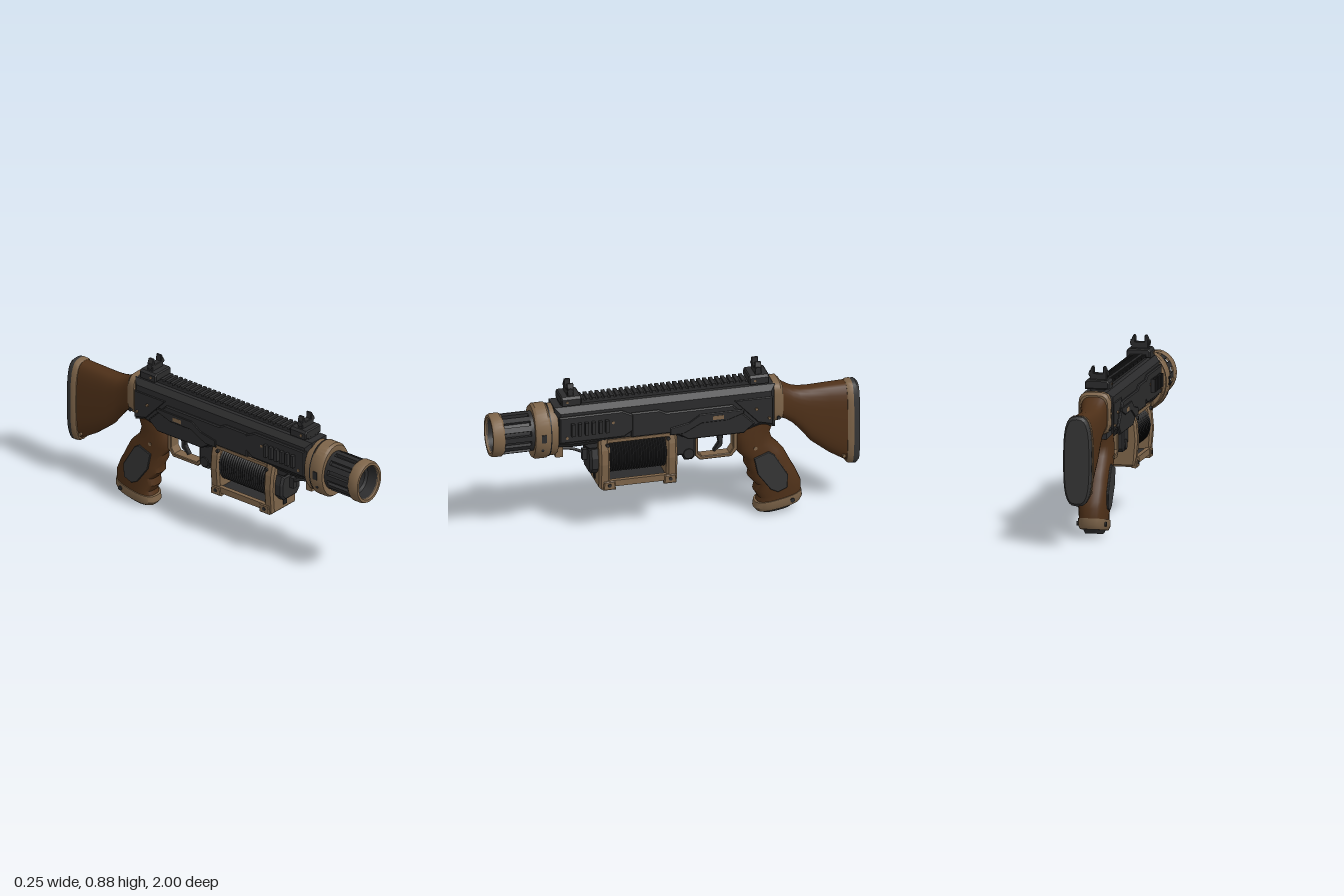
import * as THREE from 'three';
import { toCreasedNormals } from 'three/addons/utils/BufferGeometryUtils.js';

const mat = (name, color, side = THREE.FrontSide) => {
  const m = new THREE.MeshStandardMaterial({ color, side });
  m.name = name;
  return m;
};

export function createModel() {
  const root = new THREE.Group();
  root.name = 'launcher';
  const dark = mat('gunmetal', 0x2b2b2c);
  const black = mat('black', 0x1c1c1d);
  const pad = mat('rubber', 0x353535);
  const tan = mat('tan', 0x7d6449);
  const wood = mat('wood', 0x4e3018);

  const add = (name, geo, material, x = 0, y = 0, z = 0) => {
    const m = new THREE.Mesh(geo, material);
    m.name = name;
    m.position.set(x, y, z);
    root.add(m);
    return m;
  };
  const box = (name, material, w, h, d, x, y, z) => add(name, new THREE.BoxGeometry(w, h, d), material, x, y, z);
  const pair = (fn) => [1, -1].forEach(fn);
  const shapeOf = (pts) => new THREE.Shape(pts.map((p) => new THREE.Vector2(p[0], p[1])));

  // Side profile in (z, y), extruded across x and chamfered
  const side = (name, pts, half, bevel, material, x = 0, hole) => {
    const s = shapeOf(pts);
    if (hole) s.holes.push(shapeOf(hole));
    const g = new THREE.ExtrudeGeometry(s, {
      depth: 2 * (half - bevel), bevelEnabled: bevel > 0, bevelSize: bevel, bevelOffset: -bevel,
      bevelThickness: bevel, bevelSegments: 1,
    });
    g.translate(0, 0, -(half - bevel)).rotateY(-Math.PI / 2);
    return add(name, g, material, x);
  };
  // Front profile in (x, y), extruded along z
  const front = (name, pts, z0, z1, bevel, material, hole) => {
    const s = shapeOf(pts);
    if (hole) s.holes.push(hole);
    const g = new THREE.ExtrudeGeometry(s, {
      depth: z1 - z0 - 2 * bevel, bevelEnabled: bevel > 0, bevelSize: bevel, bevelOffset: -bevel,
      bevelThickness: bevel, bevelSegments: 1,
    });
    return add(name, g, material, 0, 0, z0 + bevel);
  };
  // Lathe about z; points are (radius, z) with z rising on outer walls
  const turned = (name, pts, material, y, squash = 1, segs = 40) => {
    const g = new THREE.LatheGeometry(pts.map((p) => new THREE.Vector2(p[0], p[1])), segs);
    g.rotateX(Math.PI / 2).scale(squash, 1, 1);
    return add(name, toCreasedNormals(g, 0.6), material, 0, y, 0);
  };
  // Rounded sections [zA, yA, zB, yB, halfWidth] joined into a closed solid
  const loft = (name, secs, power, material, n = 28) => {
    const pos = [], idx = [];
    const soft = (v) => Math.sign(v) * Math.abs(v) ** power;
    secs.forEach(([za, ya, zb, yb, hw]) => {
      for (let j = 0; j < n; j++) {
        const t = (j / n) * Math.PI * 2, c = soft(Math.cos(t)) / 2;
        pos.push(hw * soft(Math.sin(t)), (ya + yb) / 2 + (ya - yb) * c, (za + zb) / 2 + (za - zb) * c);
      }
    });
    for (let i = 0; i < secs.length - 1; i++) for (let j = 0; j < n; j++) {
      const a = i * n + j, b = i * n + ((j + 1) % n);
      idx.push(a, b, b + n, a, b + n, a + n);
    }
    const last = (secs.length - 1) * n;
    for (let j = 1; j < n - 1; j++) idx.push(0, j + 1, j, last, last + j, last + j + 1);
    const g = new THREE.BufferGeometry();
    g.setAttribute('position', new THREE.Float32BufferAttribute(pos, 3));
    g.setIndex(idx);
    return add(name, toCreasedNormals(g, 0.7), material);
  };
  const bolt = (name, material, r, len, x, y, z) => {
    const g = new THREE.CylinderGeometry(r, r, len, 12).rotateZ(Math.PI / 2);
    return add(name, g, material, x, y, z);
  };

  // Muzzle, slatted barrel and hollow bore
  const cy = 0.62;
  turned('muzzleRing', [[0.1, 0.935], [0.112, 0.935], [0.119, 0.945], [0.119, 0.985], [0.112, 1], [0.097, 1], [0.093, 0.985]], tan, cy, 0.88);
  turned('bore', [[0.094, 0.99], [0.085, 0.93], [0.07, 0.92], [0.066, 0.82], [0, 0.82]], dark, cy, 0.88);
  turned('barrel', [[0.094, 0.74], [0.094, 0.94]], dark, cy, 0.88);
  turned('barrelBand', [[0.09, 0.77], [0.108, 0.77], [0.108, 0.79], [0.09, 0.795]], dark, cy, 0.88);
  for (let i = 0; i < 12; i++) {
    const a = (i / 12) * Math.PI * 2;
    const s = box('barrelSlat', dark, 0.03, 0.02, 0.15, Math.sin(a) * 0.087, cy + Math.cos(a) * 0.1, 0.865);
    s.rotation.z = -a;
  }
  box('hookCross', dark, 0.03, 0.13, 0.06, 0, cy, 0.85);
  box('hookCross', dark, 0.09, 0.035, 0.07, 0, cy, 0.855);

  // Oval collar behind the barrel
  turned('collar', [[0.08, 0.69], [0.146, 0.69], [0.154, 0.7], [0.154, 0.758], [0.144, 0.772], [0.115, 0.772], [0.09, 0.76]], tan, 0.618, 0.78);
  turned('collarBack', [[0.08, 0.645], [0.138, 0.645], [0.144, 0.655], [0.144, 0.692], [0.08, 0.694]], tan, 0.618, 0.76);
  turned('collarSeam', [[0.147, 0.684], [0.147, 0.694]], black, 0.618, 0.775);
  pair((s) => {
    box('collarInset', dark, 0.008, 0.045, 0.026, s * 0.119, 0.62, 0.73);
    bolt('collarBolt', dark, 0.008, 0.012, s * 0.105, 0.55, 0.735);
  });

  // Receiver with layered side plates
  side('receiver', [[0.66, 0.54], [0.66, 0.765], [-0.54, 0.76], [-0.54, 0.51], [-0.47, 0.53], [-0.36, 0.5], [-0.06, 0.5], [0.02, 0.54], [0.58, 0.53]], 0.088, 0.028, dark);
  pair((s) => {
    side('frontPlate', [[0.64, 0.57], [0.64, 0.72], [0.3, 0.72], [0.24, 0.69], [0.24, 0.6], [0.29, 0.57]], 0.012, 0.006, dark, s * 0.088);
    side('middlePlate', [[0.25, 0.56], [0.25, 0.7], [0.1, 0.7], [0.06, 0.68], [-0.3, 0.68], [-0.42, 0.56], [-0.36, 0.51], [-0.06, 0.51], [0.02, 0.56]], 0.012, 0.006, dark, s * 0.088);
    side('bracePlate', [[0.04, 0.55], [0.04, 0.59], [-0.06, 0.61], [-0.12, 0.65], [-0.36, 0.65], [-0.36, 0.63], [-0.27, 0.6], [-0.13, 0.6], [-0.03, 0.55]], 0.006, 0.003, dark, s * 0.1);
    side('rearPlate', [[-0.31, 0.7], [-0.52, 0.7], [-0.52, 0.54], [-0.44, 0.56]], 0.008, 0.004, dark, s * 0.086);
    for (let i = 0; i < 6; i++) box('coolingFin', dark, 0.025, 0.07, 0.018, s * 0.108, 0.648, 0.385 + i * 0.037);
    box('selector', tan, 0.012, 0.022, 0.06, s * 0.101, 0.622, -0.22);
    [[0.35, 0.66], [-0.43, 0.64], [-0.5, 0.58], [0.6, 0.6]].forEach(([z, y]) => bolt('receiverPin', tan, 0.008, 0.02, s * 0.092, y, z));
  });
  box('frontLug', tan, 0.1, 0.08, 0.04, 0, 0.51, 0.63);
  box('underRail', dark, 0.11, 0.04, 0.5, 0, 0.545, 0.33);

  // Toothed top rail
  box('topRail', dark, 0.075, 0.018, 1.12, 0, 0.77, 0.06);
  for (let i = 0; i < 34; i++) box('railTooth', dark, 0.085, 0.014, 0.019, 0, 0.784, 0.6 - i * 0.0325);

  // Front and rear sights
  [0.57, -0.45].forEach((z) => {
    front('sightBase', [[-0.065, 0.77], [0.065, 0.77], [0.065, 0.805], [0.055, 0.818], [-0.055, 0.818], [-0.065, 0.805]], z - 0.058, z + 0.052, 0.006, dark);
    front('sightFork', [[-0.046, 0.815], [0.046, 0.815], [0.046, 0.86], [0.036, 0.884], [0.026, 0.884], [0.024, 0.85], [-0.024, 0.85], [-0.026, 0.884], [-0.036, 0.884], [-0.046, 0.86]], z - 0.02, z + 0.015, 0.003, dark);
    pair((s) => bolt('sightKnob', dark, 0.016, 0.012, s * 0.046, 0.845, z));
    bolt('sightScrew', tan, 0.007, 0.134, 0, 0.79, z + 0.02);
  });

  // Cable drum wound between two end frames
  const coil = [[0, 0.05]];
  for (let i = 0; i <= 44; i++) coil.push([i % 2 ? 0.106 : 0.099, 0.055 + i * 0.0072]);
  coil.push([0, 0.375]);
  turned('cableDrum', coil, black, 0.443, 0.95, 32);
  const frame = [[-0.085, 0.56], [-0.1, 0.5], [-0.107, 0.42], [-0.1, 0.34], [-0.095, 0.275], [0.095, 0.275], [0.1, 0.34], [0.107, 0.42], [0.1, 0.5], [0.085, 0.56]];
  front('drumFrontFrame', frame, 0.365, 0.425, 0.012, tan);
  front('drumRearFrame', frame, 0.0, 0.06, 0.012, tan);
  box('drumFloor', dark, 0.15, 0.02, 0.33, 0, 0.305, 0.21);
  pair((s) => {
    box('drumBottomBar', tan, 0.024, 0.034, 0.34, s * 0.087, 0.305, 0.21);
    box('drumTopBar', tan, 0.02, 0.018, 0.34, s * 0.085, 0.55, 0.21);
    [0.37, 0.04].forEach((z) => {
      side('drumFoot', [[z - 0.035, 0.27], [z - 0.03, 0.32], [z + 0.03, 0.32], [z + 0.035, 0.27]], 0.016, 0.005, tan, s * 0.088);
      bolt('drumBolt', dark, 0.01, 0.012, s * 0.102, 0.297, z);
      bolt('drumBolt', dark, 0.01, 0.012, s * 0.098, 0.53, z + 0.01);
    });
  });
  // Winch housing in front of the drum
  front('winchHousing', [[-0.05, 0.355], [0.05, 0.355], [0.08, 0.39], [0.08, 0.45], [0.065, 0.5], [-0.065, 0.5], [-0.08, 0.45], [-0.08, 0.39]], 0.41, 0.47, 0.012, dark);
  box('winchSlot', black, 0.03, 0.05, 0.008, 0, 0.33, 0.426);
  box('winchGuide', dark, 0.025, 0.06, 0.03, 0, 0.45, 0.48);
  const cable = new THREE.CatmullRomCurve3([[0, 0.45, 0.47], [0, 0.485, 0.54], [0, 0.5, 0.62]].map((p) => new THREE.Vector3(...p)));
  add('cable', new THREE.TubeGeometry(cable, 10, 0.008, 8), dark);
  side('winchBracket', [[0.42, 0.5], [0.42, 0.56], [0.6, 0.56], [0.58, 0.53], [0.5, 0.525], [0.47, 0.5]], 0.06, 0.006, dark);
  // Drive block behind the drum
  side('driveBlock', [[0.01, 0.4], [0.01, 0.54], [-0.11, 0.52], [-0.11, 0.39], [-0.09, 0.37], [-0.05, 0.37], [-0.04, 0.4]], 0.058, 0.01, dark);
  bolt('driveAxle', dark, 0.028, 0.13, 0, 0.41, -0.07);

  // Trigger and guard
  side('triggerGuard', [[-0.11, 0.5], [-0.11, 0.38], [-0.14, 0.35], [-0.31, 0.35], [-0.345, 0.39], [-0.35, 0.5]], 0.032, 0.004, tan, 0,
    [[-0.13, 0.485], [-0.32, 0.485], [-0.32, 0.4], [-0.3, 0.37], [-0.15, 0.37], [-0.13, 0.39]]);
  side('trigger', [[-0.23, 0.5], [-0.245, 0.43], [-0.215, 0.385], [-0.225, 0.38], [-0.265, 0.41], [-0.272, 0.5]], 0.014, 0.003, dark);

  // Pistol grip with finger grooves
  loft('grip', [
    [-0.54, 0.525, -0.37, 0.545, 0.07], [-0.52, 0.47, -0.335, 0.47, 0.072], [-0.535, 0.42, -0.335, 0.38, 0.074],
    [-0.575, 0.38, -0.385, 0.325, 0.076], [-0.6, 0.35, -0.385, 0.29, 0.078], [-0.62, 0.31, -0.41, 0.245, 0.078],
    [-0.64, 0.27, -0.405, 0.215, 0.079], [-0.66, 0.235, -0.445, 0.17, 0.078], [-0.675, 0.2, -0.435, 0.13, 0.077],
    [-0.69, 0.165, -0.46, 0.09, 0.075], [-0.69, 0.1, -0.445, 0.05, 0.073],
  ], 0.75, wood);
  loft('gripBase', [[-0.693, 0.115, -0.44, 0.065, 0.078], [-0.697, 0.08, -0.435, 0.03, 0.078], [-0.685, 0.055, -0.45, 0.012, 0.068]], 0.75, tan);
  loft('gripCap', [[-0.66, 0.055, -0.47, 0.02, 0.055], [-0.64, 0.025, -0.48, 0, 0.045]], 0.75, dark);
  pair((s) => {
    side('gripPanel', [[-0.42, 0.345], [-0.5, 0.375], [-0.53, 0.355], [-0.605, 0.23], [-0.6, 0.155], [-0.55, 0.135], [-0.51, 0.155], [-0.44, 0.25]], 0.006, 0.003, pad, s * 0.077);
    bolt('gripScrew', tan, 0.01, 0.012, s * 0.07, 0.4, -0.43);
    bolt('gripBaseBolt', dark, 0.012, 0.012, s * 0.074, 0.075, -0.63);
  });

  // Shoulder stock, bands and butt pad
  loft('stockMount', [[-0.53, 0.765, -0.53, 0.535, 0.086], [-0.565, 0.765, -0.565, 0.54, 0.086], [-0.58, 0.75, -0.58, 0.55, 0.076]], 0.5, tan);
  loft('stock', [
    [-0.57, 0.75, -0.57, 0.545, 0.074], [-0.6, 0.728, -0.605, 0.53, 0.068], [-0.64, 0.705, -0.645, 0.5, 0.064],
    [-0.68, 0.695, -0.69, 0.45, 0.064], [-0.74, 0.693, -0.74, 0.385, 0.066], [-0.84, 0.697, -0.84, 0.305, 0.068], [-0.945, 0.7, -0.945, 0.24, 0.07],
  ], 0.65, wood);
  loft('stockBand', [[-0.932, 0.7, -0.932, 0.24, 0.076], [-0.94, 0.705, -0.94, 0.232, 0.08], [-0.965, 0.706, -0.965, 0.228, 0.08]], 0.65, tan);
  loft('buttPad', [[-0.96, 0.704, -0.96, 0.226, 0.076], [-0.985, 0.704, -0.985, 0.226, 0.076], [-1, 0.69, -1, 0.24, 0.066]], 0.65, pad);
  pair((s) => {
    bolt('stockStud', tan, 0.01, 0.012, s * 0.058, 0.29, -0.915);
    bolt('mountBolt', dark, 0.01, 0.012, s * 0.083, 0.57, -0.553);
  });
  return root;
}
